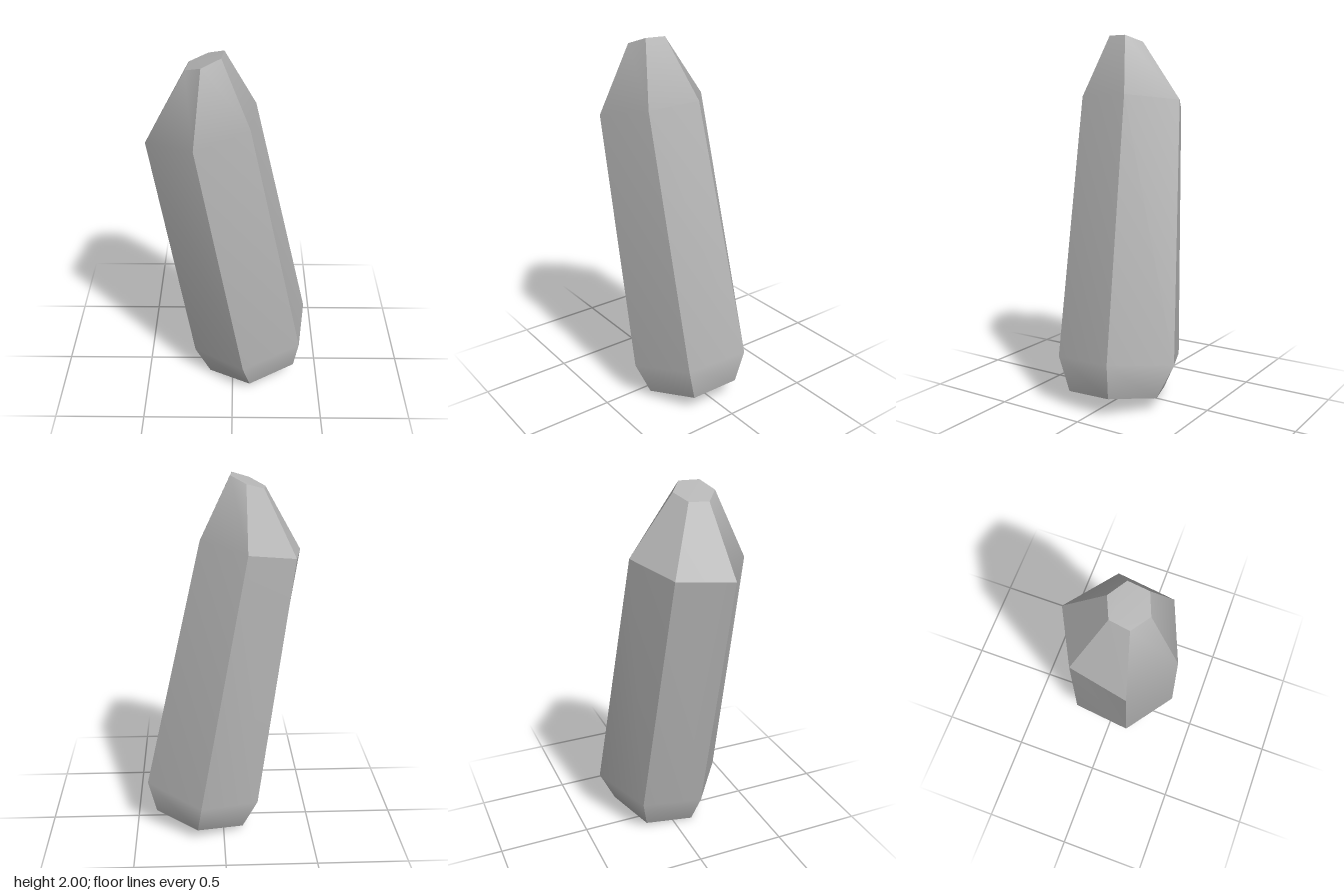
import * as THREE from 'three';
import { mergeGeometries } from 'three/addons/utils/BufferGeometryUtils.js';

// Four leaning hexagonal cross-sections, bottom to top, clockwise seen from above
const rings = [
  [[-0.11, 0.025, -0.165], [0.15, 0.07, -0.27], [0.385, 0.11, -0.115], [0.36, 0.09, 0.155], [0.1, 0.04, 0.27], [-0.135, 0, 0.11]],
  [[-0.19, 0.215, -0.215], [0.13, 0.265, -0.365], [0.43, 0.31, -0.138], [0.383, 0.285, 0.207], [0.06, 0.215, 0.342], [-0.22, 0.18, 0.13]],
  [[-0.378, 1.6, -0.11], [-0.118, 1.655, -0.245], [0.12, 1.685, -0.045], [0.088, 1.67, 0.247], [-0.187, 1.61, 0.363], [-0.433, 1.575, 0.193]],
  [[-0.215, 1.935, 0.03], [-0.12, 1.965, -0.012], [-0.04, 2, 0.053], [-0.053, 2, 0.162], [-0.15, 1.965, 0.203], [-0.23, 1.93, 0.135]],
];

function build(points, index) {
  const g = new THREE.BufferGeometry();
  g.setAttribute('position', new THREE.Float32BufferAttribute(points.flat(), 3));
  g.setIndex(index);
  g.computeVertexNormals();
  return g;
}

// One long facet: smooth along its length, sharp against its neighbours
function facet(side, levels) {
  const next = (side + 1) % 6;
  const points = levels.flatMap((l) => [rings[l][side], rings[l][next]]);
  const index = [];
  for (let i = 0; i < levels.length - 1; i++) {
    const a = i * 2;
    index.push(a, a + 2, a + 3, a, a + 3, a + 1);
  }
  return build(points, index);
}

function cap(ring, up) {
  const index = [];
  for (let i = 1; i < 5; i++) index.push(0, ...(up ? [i + 1, i] : [i, i + 1]));
  return build(ring, index);
}

export function createModel() {
  const group = new THREE.Group();
  group.name = 'crystalShard';
  const stone = new THREE.MeshStandardMaterial({ color: 0xb4b4b4 });
  stone.name = 'grey stone';

  const parts = [cap(rings[0], false), cap(rings[3], true)];
  for (let side = 0; side < 6; side++) {
    // The two steepest facets have a sharp upper shoulder
    const sharp = side === 0 || side === 5;
    const runs = sharp ? [[0, 1, 2], [2, 3]] : [[0, 1, 2, 3]];
    for (const levels of runs) parts.push(facet(side, levels));
  }

  const crystal = new THREE.Mesh(mergeGeometries(parts), stone);
  crystal.name = 'crystal';
  group.add(crystal);
  return group;
}
